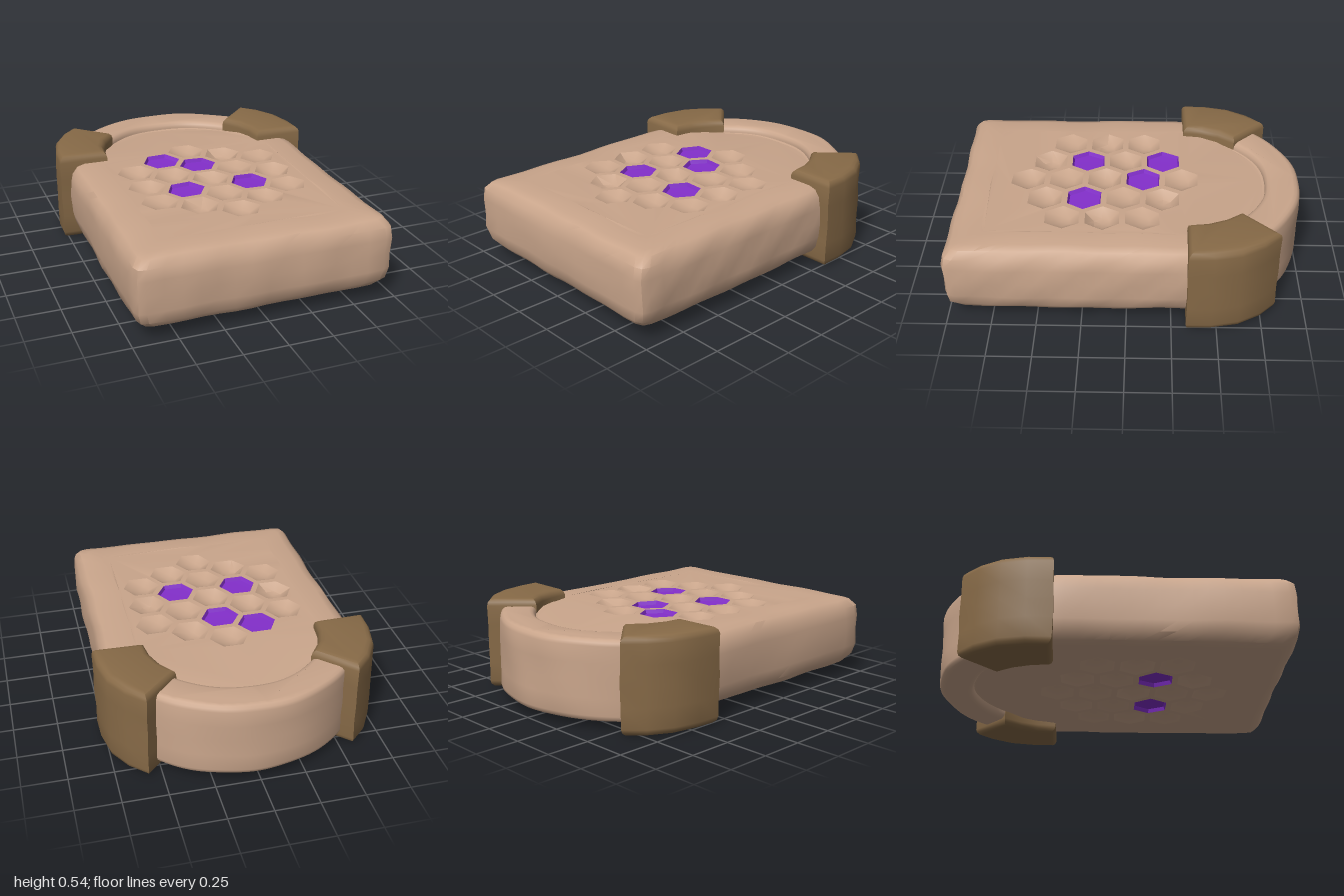
import * as THREE from 'three';
import { toCreasedNormals } from 'three/addons/utils/BufferGeometryUtils.js';

const MID = 0.27, TOP = 0.478, ARCH_Z = -0.275;

function material(name, color) {
  const m = new THREE.MeshStandardMaterial({ color });
  m.name = name;
  return m;
}

// Gentle hewn-stone unevenness; dip scoops the field inside the arch rim
function weather(geo, dip = 0, amount = 0.007) {
  const p = geo.attributes.position;
  for (let i = 0; i < p.count; i++) {
    const x = p.getX(i), y = p.getY(i), z = p.getZ(i);
    let ny = y + amount * 0.5 * Math.sin(9 * x + 4 * z + 1) * Math.sin(7 * z - 3 * x);
    if (dip && z < -0.45 && Math.hypot(x, z - ARCH_Z) < 0.54) {
      ny -= Math.sign(y - MID) * dip * Math.min(1, (-z - 0.45) / 0.2);
    }
    p.setXYZ(i,
      x + amount * Math.sin(11 * z + 9 * y) * Math.sin(5 * z + 17 * y + 2 * x),
      ny,
      z + amount * Math.sin(12 * x + 8 * y) * Math.sin(6 * x - 15 * y));
  }
  return toCreasedNormals(geo, 0.65);
}

// Plan outline as (x, -z), counter-clockwise, shrunk by an inset
function outline(inset) {
  const h = 0.725 - inset, f = -(1 - inset), c = 0.055, pts = [];
  const line = (x0, y0, x1, y1, n) => {
    for (let i = 0; i < n; i++) {
      pts.push(new THREE.Vector2(x0 + (x1 - x0) * i / n, y0 + (y1 - y0) * i / n));
    }
  };
  line(-h + c, f, h - c, f, 14);
  line(h - c, f, h - c * 0.25, f + c * 0.25, 1);
  line(h - c * 0.25, f + c * 0.25, h, f + c, 1);
  line(h, f + c, h, -ARCH_Z, 14);
  for (let i = 0; i < 32; i++) {
    const a = Math.PI * i / 32, r = h - 0.012 * Math.sin(a);
    pts.push(new THREE.Vector2(r * Math.cos(a), -ARCH_Z + r * Math.sin(a)));
  }
  line(-h, -ARCH_Z, -h, f + c, 14);
  line(-h, f + c, -h + c * 0.25, f + c * 0.25, 1);
  line(-h + c * 0.25, f + c * 0.25, -h + c, f, 1);
  return pts;
}

// Slab walls with rounded edges, from stacked outlines
function slabWalls() {
  const half = [[0.2, TOP], [0.09, TOP], [0.045, 0.465], [0.012, 0.425], [0, 0.36]];
  const profile = [
    ...half.map(([i, y]) => [i, 2 * MID - y]), [0, MID], ...half.slice().reverse(),
  ];
  const pos = [], index = [];
  let n = 0;
  profile.forEach(([inset, y]) => {
    const loop = outline(inset);
    n = loop.length;
    loop.forEach(p => pos.push(p.x, y, -p.y));
  });
  for (let j = 0; j < profile.length - 1; j++) {
    for (let i = 0; i < n; i++) {
      const k = (i + 1) % n;
      const a = j * n + i, b = j * n + k, c = b + n, d = a + n;
      index.push(a, b, c, a, c, d);
    }
  }
  const geo = new THREE.BufferGeometry();
  geo.setAttribute('position', new THREE.Float32BufferAttribute(pos, 3));
  geo.setIndex(index);
  return geo;
}

// Honeycomb of 3-4-5-4-3 cells
const CELL_R = 0.11;
const cells = [];
for (let c = -2; c <= 2; c++) {
  const count = 5 - Math.abs(c);
  for (let i = 0; i < count; i++) {
    cells.push({ c, i, x: c * 0.1925, z: 0.137 + (i - (count - 1) / 2) * 0.224 });
  }
}

// Flat face pierced by the cells; side is +1 for top, -1 for bottom
function honeycombFace(side) {
  const shape = new THREE.Shape(outline(0.2));
  cells.forEach(({ x, z }) => {
    const hole = [];
    for (let k = 0; k < 6; k++) {
      const a = -k * Math.PI / 3;
      hole.push(new THREE.Vector2(x + CELL_R * Math.cos(a), -z + CELL_R * Math.sin(a)));
    }
    shape.holes.push(new THREE.Path(hole));
  });
  const geo = new THREE.ShapeGeometry(shape).rotateX(-Math.PI / 2);
  if (side < 0) geo.index.array.reverse();
  return geo.translate(0, MID + side * (TOP - MID), 0);
}

// Hexagonal dish sunk into a face
function dish(cell, side, depth, floor) {
  const pts = [[CELL_R, 0], [floor, -depth], [0, -depth * 1.1]].map(p => new THREE.Vector2(...p));
  const geo = new THREE.LatheGeometry(pts, 6, Math.PI / 2);
  if (side < 0) geo.rotateX(Math.PI);
  return geo.translate(cell.x, MID + side * (TOP - MID), cell.z);
}

// Bevelled block raised from a plan shape
function block(shape, y0, y1, bevel) {
  const geo = new THREE.ExtrudeGeometry(shape, {
    depth: y1 - y0 - 2 * bevel, steps: 4, curveSegments: 32,
    bevelThickness: bevel, bevelSize: bevel, bevelOffset: -bevel, bevelSegments: 3,
  });
  return geo.rotateX(-Math.PI / 2).translate(0, y0 + bevel, 0);
}

export function createModel() {
  const stone = material('tan stone', 0xc9a58b);
  const bronze = material('brown clasp', 0x876a47);
  const gem = material('purple gem', 0x832fcb);
  const model = new THREE.Group();
  model.name = 'stoneTablet';
  const add = (name, geo, mat, parent = model) => {
    const mesh = new THREE.Mesh(geo, mat);
    mesh.name = name;
    parent.add(mesh);
    return mesh;
  };

  add('slab', weather(slabWalls(), 0.03), stone);

  // Pierced faces and their cells, gems differing between top and bottom
  for (const side of [1, -1]) {
    const face = new THREE.Group();
    face.name = side > 0 ? 'topFace' : 'bottomFace';
    model.add(face);
    add('honeycomb', weather(honeycombFace(side), 0.03), stone, face);
    const gems = side > 0 ? ['-1,0', '0,1', '-1,2', '1,2'] : ['-1,2', '1,2'];
    cells.forEach((cell, k) => {
      const lit = gems.includes(`${cell.c},${cell.i}`);
      const geo = lit ? dish(cell, side, 0.022, 0.1)
        : dish(cell, side, 0.034 + 0.008 * Math.sin(k * 2.3), 0.05);
      add(lit ? 'gemCell' : 'emptyCell', weather(geo), lit ? gem : stone, face);
    });
  }

  // Raised rim around the arched end
  const rim = new THREE.Shape();
  const a0 = 0.12, a1 = Math.PI - a0;
  rim.absarc(0, -ARCH_Z, 0.725, a0, a1, false);
  rim.absarc(0, -ARCH_Z, 0.525, a1, a0, true);
  add('archRim', weather(block(rim, 0.047, 0.493, 0.035), 0, 0.005), stone);

  // Clasps gripping both shoulders
  const plan = [[0.78, 0.33], [0.778, 0.47], [0.745, 0.62], [0.67, 0.745], [0.575, 0.84],
    [0.375, 0.64], [0.445, 0.54], [0.48, 0.44], [0.49, 0.33]];
  for (const s of [1, -1]) {
    const pts = plan.map(([x, y]) => new THREE.Vector2(s * x, y));
    if (s < 0) pts.reverse();
    add(s > 0 ? 'leftClasp' : 'rightClasp',
      weather(block(new THREE.Shape(pts), 0.003, 0.537, 0.04), 0, 0.004), bronze);
  }
  return model;
}
